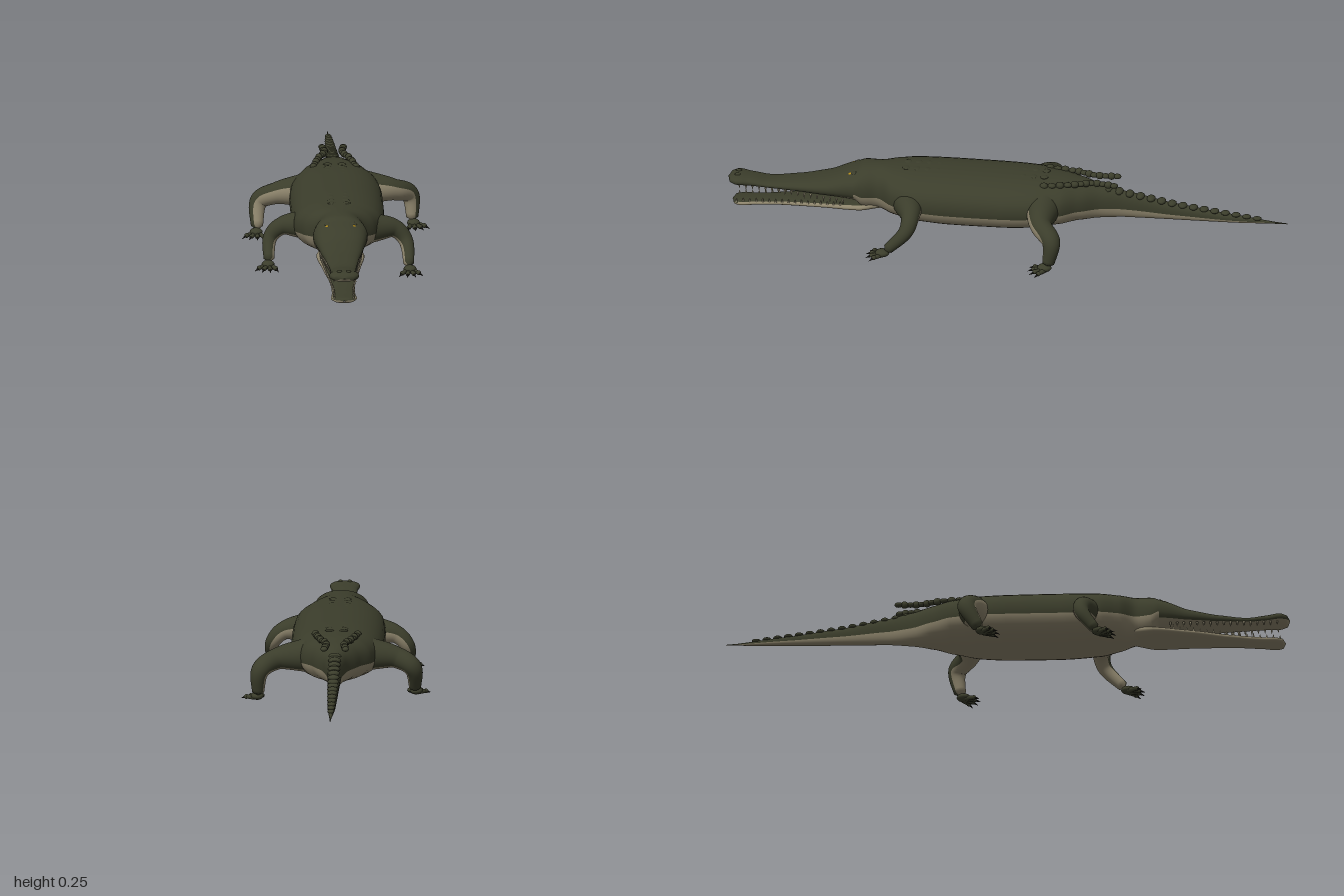
import * as THREE from 'three';
import { mergeGeometries } from 'three/addons/utils/BufferGeometryUtils.js';

const mat = (name, color) => {
  const m = new THREE.MeshStandardMaterial({ color });
  m.name = name;
  return m;
};
const V = (x, y, z) => new THREE.Vector3(x, y, z);
const SIDES = 36;

// Skin over closed rings; columns near the pale centre go to material 1
function skin(rings, isPale) {
  const dark = [], pale = [];
  rings.slice(1).forEach((_, i) => {
    for (let j = 0; j < SIDES; j++) {
      let a = ((j + 0.5) / SIDES) * Math.PI * 2;
      if (a > Math.PI) a -= Math.PI * 2;
      const p = i * SIDES + j, q = i * SIDES + ((j + 1) % SIDES);
      (isPale(a, i / (rings.length - 1)) ? pale : dark).push(p, q, q + SIDES, p, q + SIDES, p + SIDES);
    }
  });
  const g = new THREE.BufferGeometry().setFromPoints(rings.flat());
  g.setIndex([...dark, ...pale]);
  g.addGroup(0, dark.length, 0);
  g.addGroup(dark.length, pale.length, 1);
  g.computeVertexNormals();
  return g;
}

// Sections [z, halfWidth, top, bottom], smoothed between rows
function sectionAt(rows, t) {
  const i = Math.min(Math.floor(t), rows.length - 2), f = t - i;
  const [a, b, c, d] = [-1, 0, 1, 2].map((k) => rows[THREE.MathUtils.clamp(i + k, 0, rows.length - 1)]);
  return b.map((_, k) => {
    if (k === 0) return THREE.MathUtils.lerp(b[0], c[0], f);
    const m0 = (c[k] - a[k]) * 0.35, m1 = (d[k] - b[k]) * 0.35, f2 = f * f, f3 = f2 * f;
    return b[k] * (2 * f3 - 3 * f2 + 1) + m0 * (f3 - 2 * f2 + f) + c[k] * (3 * f2 - 2 * f3) + m1 * (f3 - f2);
  });
}
function hull(rows, power, isPale) {
  const rings = [], sub = 5, n = (rows.length - 1) * sub;
  for (let i = 0; i <= n; i++) {
    const [z, w, top, bottom] = sectionAt(rows, i / sub);
    rings.push(Array.from({ length: SIDES }, (_, j) => {
      const a = (j / SIDES) * Math.PI * 2, s = Math.sin(a), c = Math.cos(a);
      return V(w * Math.sign(s) * Math.abs(s) ** power, (top + bottom) / 2 - ((top - bottom) / 2) * Math.sign(c) * Math.abs(c) ** power, z);
    }));
  }
  return skin(rings, isPale);
}

// Limb tube along a curve with changing radius
function limb(points, radii, paleCentre, palePart) {
  const curve = new THREE.CatmullRomCurve3(points), rings = [], n = 26;
  for (let i = 0; i <= n; i++) {
    const t = i / n, c = curve.getPoint(t), tan = curve.getTangent(t);
    const b = V(0, 0, 1).addScaledVector(tan, -tan.z).normalize();
    const nor = b.clone().cross(tan);
    const k = Math.min(Math.floor(t * (radii.length - 1)), radii.length - 2);
    const r = THREE.MathUtils.lerp(radii[k], radii[k + 1], t * (radii.length - 1) - k) * (i === n ? 0.3 : 1);
    rings.push(Array.from({ length: SIDES }, (_, j) => {
      const a = (j / SIDES) * Math.PI * 2;
      return c.clone().addScaledVector(b, -r * Math.sin(a)).addScaledVector(nor, -r * Math.cos(a));
    }));
  }
  return skin(rings, (a) => Math.cos(a - paleCentre) > palePart);
}

function mirrorX(g) {
  g.scale(-1, 1, 1);
  const ix = g.index.array;
  for (let i = 0; i < ix.length; i += 3) [ix[i], ix[i + 2]] = [ix[i + 2], ix[i]];
  g.computeVertexNormals();
  return g;
}

const knob = (p, sx, sy, sz) => new THREE.SphereGeometry(1, 12, 8).scale(sx, sy, sz).translate(p.x, p.y, p.z);

// Cone or tapered rod from p to q
function spike(p, q, r0, r1 = 0.0005) {
  const d = q.clone().sub(p), g = new THREE.CylinderGeometry(r1, r0, d.length(), 8);
  g.applyQuaternion(new THREE.Quaternion().setFromUnitVectors(V(0, 1, 0), d.clone().normalize()));
  const m = p.clone().add(q).multiplyScalar(0.5);
  return g.translate(m.x, m.y, m.z);
}

export function createModel() {
  const model = new THREE.Group();
  const hide = mat('dark olive hide', 0x3b3d2b), belly = mat('pale belly', 0x8c836b);
  const gold = mat('golden eye', 0xb58c18), black = mat('dark claw', 0x1d1c17), ivory = mat('tooth', 0xa39b80);
  const add = (name, geo, material, parent = model) => {
    const m = new THREE.Mesh(geo, material);
    m.name = name;
    parent.add(m);
    return m;
  };

  // Tail, trunk, head and upper jaw in one skin
  const bodyRows = [
    [-1, 0.001, 0.117, 0.114], [-0.8, 0.014, 0.138, 0.108], [-0.6, 0.019, 0.165, 0.105], [-0.42, 0.025, 0.2, 0.102],
    [-0.34, 0.042, 0.218, 0.097], [-0.26, 0.085, 0.235, 0.09], [-0.2, 0.125, 0.244, 0.08], [-0.1, 0.157, 0.25, 0.066],
    [0, 0.165, 0.252, 0.06], [0.2, 0.165, 0.252, 0.058], [0.33, 0.158, 0.25, 0.065], [0.4, 0.128, 0.249, 0.075],
    [0.455, 0.086, 0.248, 0.084], [0.51, 0.095, 0.245, 0.088], [0.54, 0.096, 0.232, 0.115], [0.65, 0.076, 0.19, 0.124],
    [0.75, 0.058, 0.17, 0.129], [0.85, 0.046, 0.159, 0.132], [0.92, 0.046, 0.168, 0.134], [0.965, 0.053, 0.173, 0.136],
    [0.99, 0.038, 0.167, 0.141], [1, 0.002, 0.156, 0.152],
  ];
  add('body', hull(bodyRows, 0.88, (a, t) => Math.abs(a) < (t > 0.66 ? 1.05 : 1.34)), [hide, belly]);

  // Lower jaw, hanging open
  const jawRows = [
    [0.44, 0.06, 0.13, 0.088], [0.52, 0.085, 0.118, 0.083], [0.65, 0.068, 0.107, 0.079], [0.8, 0.045, 0.093, 0.069],
    [0.9, 0.041, 0.083, 0.061], [0.95, 0.046, 0.079, 0.057], [0.975, 0.034, 0.077, 0.058], [0.985, 0.002, 0.069, 0.066],
  ];
  add('lowerJaw', hull(jawRows, 0.85, (a, t) => Math.abs(a) < (t > 0.75 ? 1.7 : 2.1)), [hide, belly]);

  // Teeth along both jaws
  const teeth = [];
  for (let i = 0; i < 17; i++) {
    const z = 0.58 + i * 0.0235, k = (z - 0.58) / 0.376, w = THREE.MathUtils.lerp(0.073, 0.036, Math.min(1, k * 1.25));
    const up = THREE.MathUtils.lerp(0.124, 0.14, k), low = THREE.MathUtils.lerp(0.107, 0.075, k), len = 0.012 + 0.004 * (i % 3 === 0);
    for (const s of [-1, 1]) {
      teeth.push(spike(V(s * w, up + 0.004, z), V(s * w, up - len, z), 0.0045));
      teeth.push(spike(V(s * w * 0.95, low - 0.003, z + 0.01), V(s * w * 0.95, low + len * 0.8, z + 0.01), 0.004));
    }
  }
  add('teeth', mergeGeometries(teeth), ivory);

  // Eyes with brow bumps
  for (const s of [-1, 1]) {
    add('eye', knob(V(s * 0.047, 0.214, 0.557), 0.009, 0.009, 0.009), gold);
    add('brow', knob(V(s * 0.045, 0.217, 0.541), 0.015, 0.012, 0.014), hide);
    add('nostril', knob(V(s * 0.016, 0.17, 0.965), 0.009, 0.007, 0.011), hide);
  }

  // Paired rows of raised scutes overhanging the tail root
  const scutes = [];
  for (const s of [-1, 1]) {
    const row = new THREE.CatmullRomCurve3([V(s * 0.075, 0.236, -0.14), V(s * 0.055, 0.24, -0.24), V(s * 0.032, 0.24, -0.31), V(s * 0.038, 0.238, -0.385)]);
    for (let i = 0; i <= 11; i++) scutes.push(knob(row.getPoint(i / 11), 0.013, i % 2 ? 0.009 : 0.013, 0.015));
  }
  add('rootScutes', mergeGeometries(scutes), hide);

  // Saw-toothed ridge down the tail
  const ridge = [];
  for (let i = 0; i < 15; i++) {
    const z = -0.36 - i * 0.038, k = i / 14;
    const top = z > -0.6 ? THREE.MathUtils.mapLinear(z, -0.36, -0.6, 0.206, 0.164) : THREE.MathUtils.mapLinear(z, -0.6, -0.9, 0.164, 0.128);
    ridge.push(knob(V(0, top, z), 0.023 - 0.011 * k * k, 0.012 - 0.005 * k, 0.016));
  }
  add('tailRidge', mergeGeometries(ridge), hide);

  // Low scale rows on the back
  const scales = [];
  for (let i = 0; i < 14; i++)
    for (const x of [-0.075, -0.025, 0.025, 0.075]) scales.push(knob(V(x, 0.249 - x * x * 2.9, 0.36 - i * 0.038), 0.016, 0.004, 0.014));
  add('backScales', mergeGeometries(scales), hide);

  // Legs: points on the +x side, mirrored where needed; heading turns the foot
  const legs = [
    { name: 'frontLegLeft', s: 1, pts: [V(0.11, 0.15, 0.34), V(0.2, 0.14, 0.32), V(0.237, 0.1, 0.33), V(0.247, 0.025, 0.4)], heading: 0.1 },
    { name: 'frontLegRight', s: -1, pts: [V(0.11, 0.15, 0.29), V(0.2, 0.14, 0.275), V(0.24, 0.1, 0.275), V(0.247, 0.025, 0.325)], heading: 0.15 },
    { name: 'hindLegLeft', s: 1, hind: true, pts: [V(0.1, 0.16, -0.14), V(0.21, 0.147, -0.15), V(0.268, 0.115, -0.195), V(0.277, 0.025, -0.185)], heading: 0.35 },
    { name: 'hindLegRight', s: -1, hind: true, pts: [V(0.1, 0.16, -0.11), V(0.21, 0.147, -0.115), V(0.268, 0.115, -0.13), V(0.277, 0.025, -0.085)], heading: 0.2 },
  ];
  for (const { name, s, hind, pts, heading } of legs) {
    const leg = new THREE.Group();
    leg.name = name;
    model.add(leg);
    const side = (g) => (s < 0 ? mirrorX(g) : g);
    add('limb', side(limb(pts, hind ? [0.062, 0.038, 0.033, 0.02] : [0.055, 0.032, 0.026, 0.018], hind ? -0.7 : 0.4, 0.25)), [hide, belly], leg);
    const ankle = pts[3], toes = [], claws = [];
    toes.push(knob(ankle.clone().add(V(0.003, -0.007, 0.012)), 0.023, 0.014, 0.026));
    for (let i = 0; i < 4; i++) {
      const a = heading + (i - 1.5) * 0.42, dir = V(Math.sin(a), 0, Math.cos(a));
      const start = ankle.clone().addScaledVector(dir, 0.015).setY(0.013), end = ankle.clone().addScaledVector(dir, 0.05).setY(0.011);
      toes.push(spike(start, end, 0.0095, 0.007), knob(end, 0.0085, 0.0085, 0.0085));
      claws.push(spike(end, end.clone().addScaledVector(dir, 0.022).setY(0.003), 0.006));
    }
    add('foot', side(mergeGeometries(toes)), hide, leg);
    add('claws', side(mergeGeometries(claws)), black, leg);
  }

  // Rest the soles on the ground
  const box = new THREE.Box3().setFromObject(model);
  model.position.y = -box.min.y;
  return model;
}
